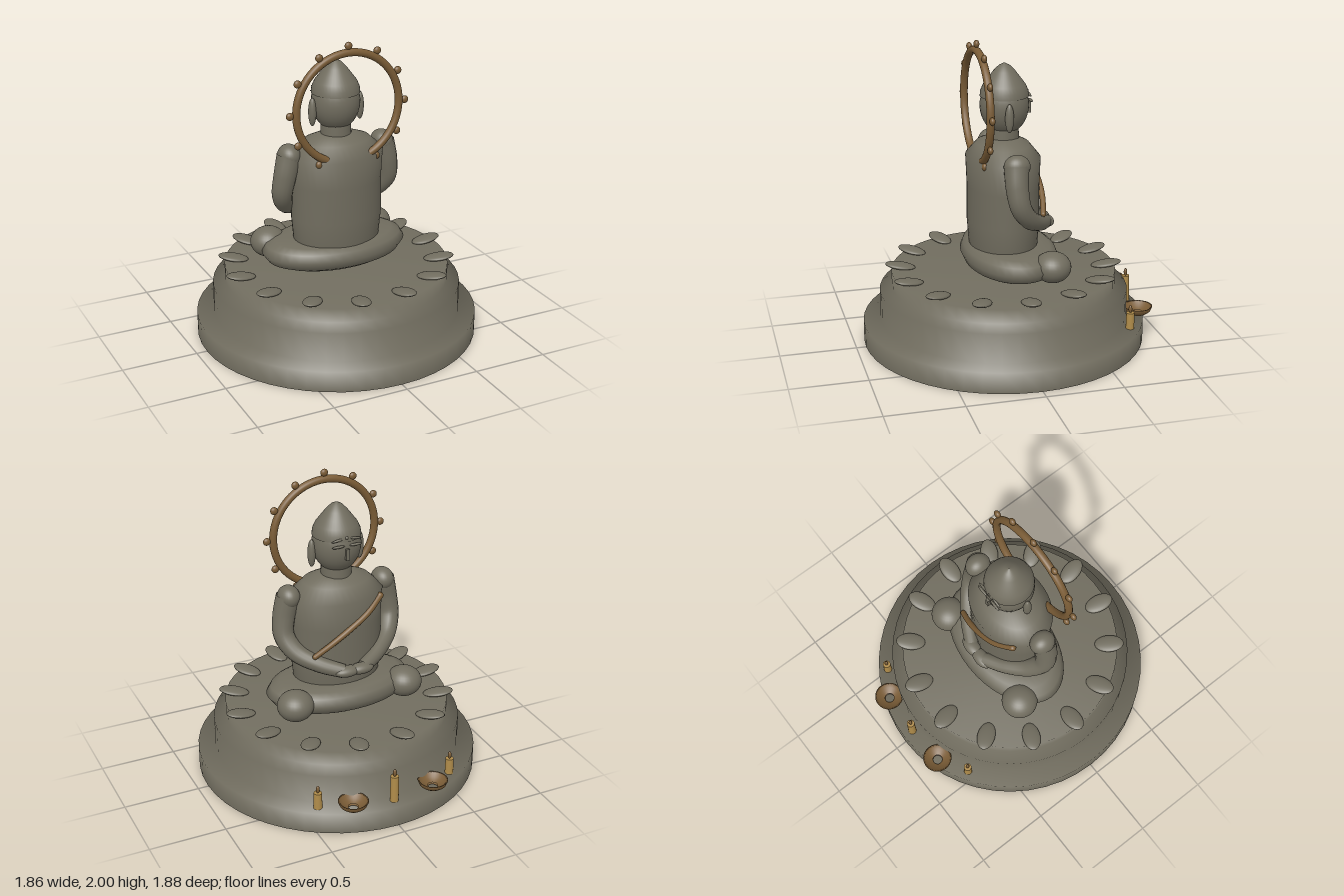
import * as THREE from 'three';

const stone = new THREE.MeshStandardMaterial({ color: 0x716d5f, side: THREE.DoubleSide });
stone.name = 'stone';
const bronze = new THREE.MeshStandardMaterial({ color: 0x7a5c36, side: THREE.DoubleSide });
bronze.name = 'bronze';
const wax = new THREE.MeshStandardMaterial({ color: 0xb08c4a });
wax.name = 'wax';

const V = (x, y, z) => new THREE.Vector3(x, y, z);

export function createModel() {
  const model = new THREE.Group();
  model.name = 'seatedStatue';

  const add = (name, geometry, material, x = 0, y = 0, z = 0) => {
    const mesh = new THREE.Mesh(geometry, material);
    mesh.name = name;
    mesh.position.set(x, y, z);
    model.add(mesh);
    return mesh;
  };
  const lathe = (points, segments = 40) =>
    new THREE.LatheGeometry(points.map(([r, y]) => new THREE.Vector2(r, y)), segments);
  const ellipsoid = (rx, ry, rz) => new THREE.SphereGeometry(1, 28, 18).scale(rx, ry, rz);

  // Tube whose radius runs from r0 to r1 along a smooth path
  const taperedTube = (points, r0, r1) => {
    const path = new THREE.CatmullRomCurve3(points);
    const rings = 32, sides = 16;
    const geometry = new THREE.TubeGeometry(path, rings, 1, sides);
    const pos = geometry.attributes.position;
    const v = new THREE.Vector3();
    for (let i = 0; i <= rings; i++) {
      const centre = path.getPointAt(i / rings);
      const r = THREE.MathUtils.lerp(r0, r1, i / rings);
      for (let j = 0; j <= sides; j++) {
        const k = i * (sides + 1) + j;
        v.fromBufferAttribute(pos, k).sub(centre).multiplyScalar(r).add(centre);
        pos.setXYZ(k, v.x, v.y, v.z);
      }
    }
    return geometry;
  };

  // Stepped pedestal, open underneath
  add('pedestal', lathe([
    [0.93, 0], [0.93, 0.138], [0.818, 0.152], [0.818, 0.345],
    [0.738, 0.378], [0.738, 0.472], [0, 0.472],
  ], 48), stone, 0, 0, 0.007);

  // Ring of lotus petals, tilted up at the outer end
  for (let i = 0; i < 14; i++) {
    const a = (i / 14) * Math.PI * 2;
    const petal = add('lotusPetal', ellipsoid(0.1, 0.02, 0.06).rotateZ(0.15), stone,
      Math.cos(a) * 0.68, 0.488, Math.sin(a) * 0.68 + 0.007);
    petal.rotation.y = -a;
  }

  // Folded legs and knees
  const legs = add('foldedLegs', lathe([
    [0, -0.1], [0.28, -0.098], [0.39, -0.083], [0.46, -0.055], [0.5, 0],
    [0.47, 0.05], [0.41, 0.078], [0.3, 0.088], [0, 0.09],
  ]), stone, 0, 0.578, -0.03);
  legs.scale.z = 0.62;

  // Torso, wider than deep
  const torso = add('torso', lathe([
    [0.27, 0.58], [0.293, 0.66], [0.308, 0.82], [0.305, 1.05],
    [0.315, 1.24], [0.225, 1.325], [0.12, 1.365], [0, 1.37],
  ]), stone, 0, 0, 0.01);
  torso.scale.z = 0.755;

  // Paired limbs and ears
  for (const s of [1, -1]) {
    add('knee', ellipsoid(0.12, 0.1, 0.12), stone, s * 0.39, 0.592, -0.215);
    add('shoulder', ellipsoid(0.072, 0.075, 0.085), stone, s * 0.332, 1.258, 0.005);
    add('arm', taperedTube([
      V(s * 0.332, 1.26, 0.01), V(s * 0.365, 1.12, 0.012), V(s * 0.375, 1.0, -0.01),
      V(s * 0.325, 0.9, -0.08), V(s * 0.2, 0.83, -0.185), V(s * 0.07, 0.79, -0.26),
    ], 0.08, 0.045), stone);
    add('hand', ellipsoid(0.085, 0.036, 0.048), stone, s * 0.05, 0.79, -0.27);
    add('ear', ellipsoid(0.026, 0.093, 0.028), stone, s * 0.168, 1.525, 0.01);
  }

  // Neck, head and pointed hair crown
  add('neck', new THREE.CylinderGeometry(0.097, 0.1, 0.12, 32), stone, 0, 1.38, 0.005);
  add('head', ellipsoid(0.158, 0.19, 0.158), stone, 0, 1.575, 0);
  add('hairCrown', lathe([
    [0.157, 1.635], [0.153, 1.67], [0.136, 1.71], [0.102, 1.755],
    [0.07, 1.797], [0.035, 1.833], [0, 1.85],
  ]), stone);

  // Face, turned towards the back of the frame
  for (const s of [1, -1]) {
    const brow = add('brow', ellipsoid(0.044, 0.008, 0.008), stone, s * 0.06, 1.65, -0.148);
    brow.rotation.z = -s * 0.15;
    add('eye', ellipsoid(0.044, 0.009, 0.009), stone, s * 0.06, 1.61, -0.157);
  }
  add('foreheadMark', ellipsoid(0.012, 0.012, 0.012), stone, 0, 1.66, -0.148);
  add('nose', new THREE.BoxGeometry(0.022, 0.075, 0.03), stone, 0, 1.553, -0.158);

  // Open halo ring with beads, the gap at the bottom
  const haloY = 1.578, haloZ = 0.18, gap = THREE.MathUtils.degToRad(23);
  const halo = add('haloRing',
    new THREE.TorusGeometry(0.357, 0.025, 14, 72, Math.PI * 2 - gap * 2), bronze, 0, haloY, haloZ);
  halo.rotation.z = -Math.PI / 2 + gap;
  for (let i = 0; i < 12; i++) {
    if (i === 9) continue;
    const a = (i * Math.PI) / 6;
    add('haloBead', ellipsoid(0.025, 0.025, 0.018), bronze,
      Math.cos(a) * 0.4, haloY + Math.sin(a) * 0.4, haloZ);
  }

  // Diagonal sash over the chest
  const sashPoints = [V(-0.235, 1.22, -0.155), V(-0.12, 1.14, -0.208), V(0.01, 1.06, -0.226),
    V(0.13, 0.98, -0.22), V(0.24, 0.9, -0.195)];
  add('sash', taperedTube(sashPoints, 0.022, 0.018), bronze);
  add('sashEnd', ellipsoid(0.023, 0.023, 0.023), bronze, ...sashPoints[0].toArray());
  add('sashEnd', ellipsoid(0.018, 0.018, 0.018), bronze, ...sashPoints[4].toArray());

  // Offering bowls on the ledge
  for (const s of [1, -1]) {
    add('offeringBowl', lathe([
      [0.032, 0.158], [0.06, 0.166], [0.085, 0.186], [0.097, 0.215], [0.085, 0.212],
      [0.07, 0.188], [0.032, 0.172],
    ], 28), bronze, s * 0.28, 0, -0.842);
  }

  // Candles with flames
  for (const [x, z, top] of [[0, -0.853, 0.325], [0.467, -0.722, 0.255], [-0.467, -0.722, 0.255]]) {
    const h = top - 0.145;
    add('candle', new THREE.CylinderGeometry(0.026, 0.028, h, 16), wax, x, 0.145 + h / 2, z);
    add('flame', ellipsoid(0.012, 0.026, 0.012), bronze, x, top + 0.024, z);
  }

  return model;
}
